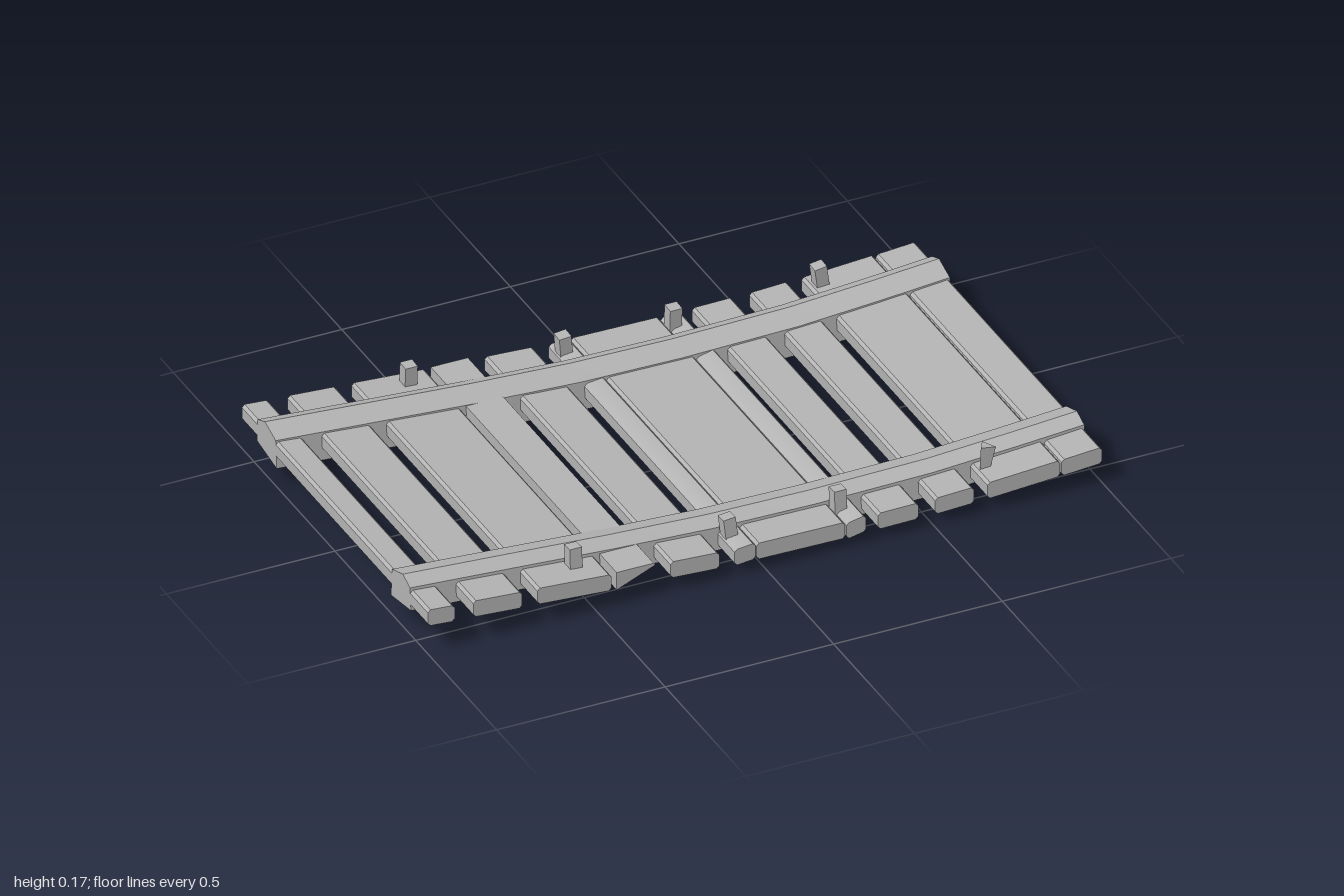
import * as THREE from 'three';
import { toCreasedNormals } from 'three/addons/utils/BufferGeometryUtils.js';

const wood = new THREE.MeshStandardMaterial({ color: 0xb2b2b2 });
wood.name = 'weathered grey';

// Sagging centre line of the deck: [x, y]
const SAG = [[-1, 0.11], [-0.7, 0.092], [-0.4, 0.073], [-0.1, 0.058], [0.2, 0.053],
  [0.55, 0.057], [0.8, 0.071], [1, 0.084]];
function sagY(x) {
  let i = 0;
  while (i < SAG.length - 2 && x > SAG[i + 1][0]) i++;
  const [a, b] = [SAG[i], SAG[i + 1]];
  return a[1] + (b[1] - a[1]) * (x - a[0]) / (b[0] - a[0]);
}

// Long beam: a ridged cross-section swept along the sag
function beamGeometry(side) {
  const section = [[0.425, 0.054], [0.47, 0.036], [0.475, -0.033], [0.352, -0.053], [0.358, 0.032]];
  if (side < 0) section.reverse();
  const n = section.length, pos = [], idx = [];
  SAG.forEach(([x, y], i) => {
    const shift = side < 0 ? 0.012 * x * x - 0.004 : -0.005 * x * x;
    section.forEach(([z, dy]) => pos.push(x, y + dy, side * (z + shift)));
    if (i === 0) return;
    for (let j = 0; j < n; j++) {
      const k = (j + 1) % n, a = (i - 1) * n + j, b = (i - 1) * n + k;
      idx.push(a, b, b + n, a, b + n, a + n);
    }
  });
  const last = (SAG.length - 1) * n;
  for (let j = 1; j < n - 1; j++) {
    idx.push(0, j + 1, j, last, last + j, last + j + 1);
  }
  const g = new THREE.BufferGeometry();
  g.setAttribute('position', new THREE.Float32BufferAttribute(pos, 3));
  g.setIndex(idx);
  return toCreasedNormals(g, 0.6);
}

// Crosswise plank: an outline in x and y, extruded along z
function plankGeometry(points) {
  const shape = new THREE.Shape(points.map(([x, y]) => new THREE.Vector2(x, y)));
  const g = new THREE.ExtrudeGeometry(shape, { depth: 1.15, bevelEnabled: false });
  g.translate(0, 0, -0.575);
  return toCreasedNormals(g, 0.7);
}

export function createModel() {
  const model = new THREE.Group();
  const add = (name, geometry) => {
    const mesh = new THREE.Mesh(geometry, wood);
    mesh.name = name;
    model.add(mesh);
    return mesh;
  };

  for (const side of [1, -1]) add(side > 0 ? 'frontBeam' : 'backBeam', beamGeometry(side));

  // Planks: [left x, right x, tilt as height difference]
  const planks = [[-1, -0.92, 0], [-0.865, -0.72, 0], [-0.675, -0.455, 0], [-0.28, -0.135, 0],
    [-0.09, -0.028, 0.006], [-0.025, 0.238, 0], [0.242, 0.3, 0.008], [0.335, 0.455, 0],
    [0.505, 0.62, 0], [0.66, 0.875, 0], [0.88, 1, 0]];
  for (const [x0, x1, tilt] of planks) {
    const c = 0.008, h = 0.025;
    const ya = sagY(x0) - tilt / 2 + 0.002, yb = sagY(x1) + tilt / 2 + 0.002;
    add('plank', plankGeometry([[x0, ya - h + c], [x0 + c, ya - h], [x1 - c, yb - h], [x1, yb - h + c],
      [x1, yb + h - c], [x1 - c, yb + h], [x0 + c, ya + h], [x0, ya + h - c]]));
  }

  // Split, wedge-shaped plank
  add('brokenPlank', plankGeometry([[-0.44, 0.05], [-0.325, 0.098], [-0.33, 0.105], [-0.44, 0.105]]));

  // Short pegs standing on the plank ends: [x, top y, lean]
  const pegs = [[-0.53, 0.17, 0], [-0.07, 0.14, 0.1], [0.255, 0.14, 0], [0.69, 0.155, 0.15]];
  for (const [x, top, lean] of pegs) {
    for (const z of [0.495, -0.525]) {
      const split = x > 0.6 && z > 0;
      const geometry = split
        ? new THREE.CylinderGeometry(0.026, 0.016, 0.08, 3).toNonIndexed()
        : new THREE.BoxGeometry(0.036, 0.08, 0.036);
      if (split) geometry.computeVertexNormals();
      const peg = add('peg', geometry);
      peg.position.set(x, top - 0.042, z);
      peg.rotation.set(z > 0 ? -0.06 : 0.06, split ? Math.PI : 0, lean);
    }
  }
  return model;
}
